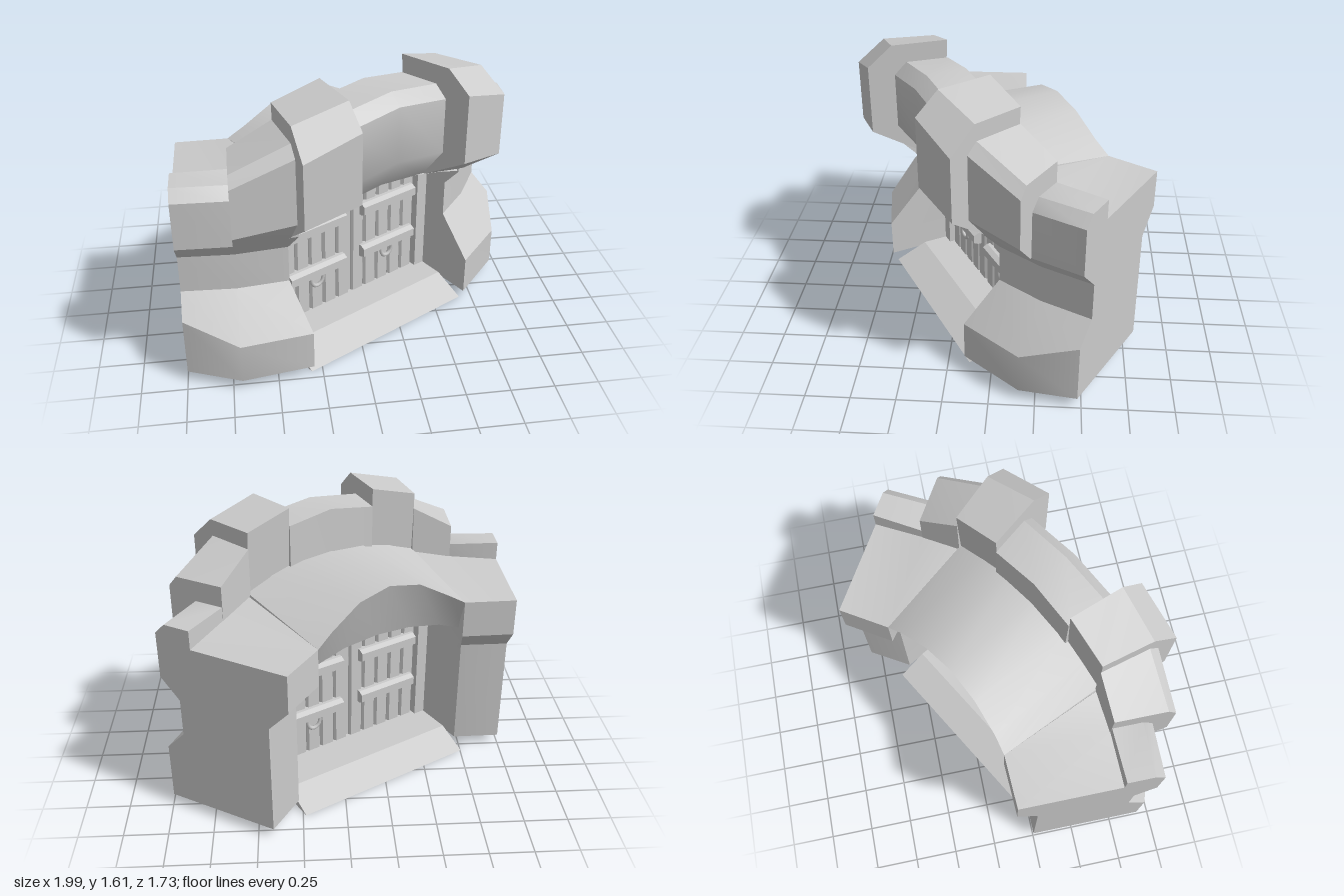
import * as THREE from 'three';
import { toCreasedNormals } from 'three/addons/utils/BufferGeometryUtils.js';

const material = new THREE.MeshStandardMaterial({ color: 0xcccccc });

// Section of a radial slice: start point (x, z), heading in degrees, list of [distance, height]
function section(x, z, degrees, list) {
  const a = THREE.MathUtils.degToRad(degrees);
  return list.map(([s, y]) => [x + s * Math.sin(a), y, z + s * Math.cos(a)]);
}
const flip = (p) => [-p[0], p[1], p[2]];
const mirrored = (stations) => stations.map((loop) => loop.map(flip)).reverse();

// Closed loops joined from +x to -x, capped at both ends
function loft(stations) {
  const out = [];
  const tri = (a, b, c) => out.push(...a, ...b, ...c);
  for (let k = 0; k < stations.length - 1; k++) {
    const a = stations[k], b = stations[k + 1];
    for (let i = 0; i < a.length; i++) {
      const j = (i + 1) % a.length;
      tri(a[i], a[j], b[j]);
      tri(a[i], b[j], b[i]);
    }
  }
  const cap = (loop, facing) => {
    const flat = loop.map((p) => new THREE.Vector2(p[2], p[1]));
    for (const [i, j, k] of THREE.ShapeUtils.triangulateShape(flat, [])) {
      const ccw = THREE.ShapeUtils.area([flat[i], flat[j], flat[k]]) > 0;
      if (ccw === facing) tri(loop[i], loop[j], loop[k]);
      else tri(loop[i], loop[k], loop[j]);
    }
  };
  cap(stations[0], false);
  cap(stations[stations.length - 1], true);
  const g = new THREE.BufferGeometry();
  g.setAttribute('position', new THREE.Float32BufferAttribute(out, 3));
  return toCreasedNormals(g, 0.65);
}

// Straight prism of an outline
function prism(points, length) {
  const shape = new THREE.Shape(points.map(([x, y]) => new THREE.Vector2(x, y)));
  return new THREE.ExtrudeGeometry(shape, { depth: length, bevelEnabled: false });
}
// Outline in (z, y), run along x and centred
const alongX = (points, length) =>
  prism(points.map(([z, y]) => [-z, y]).reverse(), length).rotateY(Math.PI / 2).translate(-length / 2, 0, 0);

export function createModel() {
  const model = new THREE.Group();
  const gate = new THREE.Group();
  gate.name = 'gate';
  gate.rotation.y = Math.PI / 6;
  gate.position.set(-0.043, 0, 0.025);
  model.add(gate);

  const add = (name, geometry, x = 0, y = 0, z = 0) => {
    const mesh = new THREE.Mesh(geometry, material);
    mesh.name = name;
    mesh.position.set(x, y, z);
    gate.add(mesh);
    return mesh;
  };
  const addPair = (name, stations) => {
    add(name + 'Left', loft(stations));
    add(name + 'Right', loft(mirrored(stations)));
  };

  // Threshold slab with sloping front and back
  add('threshold', alongX([[-0.435, 0], [0.45, 0], [0.255, 0.08], [-0.25, 0.08]], 1.14));

  // Side walls: outer end, bend and door jamb
  const outerEnd = section(0.755, -0.6, 30, [
    [0.12, 0.06], [0.79, 0.06], [0.79, 0.4], [0.675, 0.52], [0.675, 0.74], [0.79, 0.86], [0.79, 1.13],
    [0.73, 1.19], [0.575, 1.19], [0.575, 1.08], [0, 1.08], [0, 0.86], [0.12, 0.73]]);
  const bend = section(0.49, -0.46, 30, [
    [0.12, 0.06], [0.92, 0.06], [0.92, 0.29], [0.7, 0.52], [0.7, 0.74], [0.81, 0.86], [0.81, 1.13],
    [0.75, 1.19], [0.58, 1.19], [0.58, 1.11], [0, 1.08], [0, 0.86], [0.12, 0.73]]);
  bend[0] = [0.58, 0.06, -0.365];
  bend[12] = [0.58, 0.73, -0.365];
  const jamb = [
    [0.06, -0.36], [0.06, 0.48], [0.29, 0.48], [0.52, 0.26], [0.74, 0.26], [0.86, 0.37], [1.0, 0.37],
    [1.12, 0.3], [1.15, 0.25], [1.16, 0.14]].map(([y, z]) => [0.573, y, z]);
  jamb.push([...bend[10]], [...bend[11]], [0.573, 0.73, -0.36]);
  addPair('sideWall', [outerEnd, bend, jamb]);

  // Arch over the doorway: back lip, front lip, roof front, roof back
  const archHalf = [
    [[0.585, 0.84, -0.36], [0.585, 0.86, 0.36], [0.575, 1.18, 0.2], [0.49, 1.08, -0.46]],
    [[0.42, 0.9, -0.33], [0.42, 0.905, 0.355], [0.42, 1.23, 0.22], [0.39, 1.14, -0.435]],
    [[0.22, 0.93, -0.3], [0.22, 0.942, 0.345], [0.22, 1.27, 0.24], [0.2, 1.25, -0.41]]];
  const archMiddle = [[0, 0.94, -0.29], [0, 0.957, 0.34], [0, 1.28, 0.25], [0, 1.29, -0.4]];
  add('arch', loft([...archHalf, archMiddle, ...mirrored(archHalf)]));

  // Hood stones following the arch
  addPair('outerHoodStone', [
    section(0.78, 0.04, 30, [[0, 0.9], [0.24, 0.86], [0.34, 0.97], [0.34, 1.25], [0.29, 1.31], [0, 1.31]]),
    section(0.56, 0.134, 15, [[0, 0.95], [0.24, 0.87], [0.35, 1.01], [0.35, 1.38], [0.29, 1.44], [0, 1.44]])]);
  addPair('raisedHoodStone', [
    section(0.56, 0.134, 15, [[0.03, 0.95], [0.22, 0.86], [0.457, 1.035], [0.457, 1.4], [0.3, 1.535], [0, 1.535]]),
    section(0.28, 0.168, 9.5, [[0.03, 1.0], [0.19, 0.93], [0.46, 1.09], [0.46, 1.49], [0.32, 1.607], [0, 1.607]])]);
  const centreSide = section(0.28, 0.168, 9.5,
    [[0, 1.0], [0.18, 0.93], [0.31, 1.11], [0.31, 1.43], [0.24, 1.5], [0, 1.5]]);
  const centreMiddle = section(0, 0.18, 0,
    [[0, 1.02], [0.16, 0.957], [0.3, 1.155], [0.3, 1.475], [0.23, 1.54], [0, 1.54]]);
  add('centreHoodStone', loft([centreSide, centreMiddle, ...mirrored([centreSide])]));

  // Double door: backing, planks, posts, straps and ring pulls
  const doorZ = 0.03;
  add('doorBacking', new THREE.BoxGeometry(1.1, 0.9, 0.04), 0, 0.51, doorZ);
  for (const side of [-1, 1]) {
    add('doorPost', new THREE.BoxGeometry(0.08, 0.86, 0.14), side * 0.54, 0.49, doorZ);
    for (let i = 0; i < 5; i++) {
      const w = 0.047, e = 0.036;
      const plank = prism([[-w, -0.025], [-e, -0.04], [e, -0.04], [w, -0.025],
        [w, 0.025], [e, 0.04], [-e, 0.04], [-w, 0.025]], 0.88).rotateX(-Math.PI / 2);
      add('plank', plank, side * (0.056 + i * 0.098), 0.07, doorZ);
    }
    for (const y of [0.36, 0.655]) {
      const strap = alongX([[-0.09, -0.025], [-0.06, -0.04], [0.06, -0.04], [0.09, -0.025],
        [0.09, 0.025], [0.06, 0.04], [-0.06, 0.04], [-0.09, 0.025]], 0.4);
      add('strap', strap, side * 0.265, y, doorZ);
    }
    const ring = new THREE.TorusGeometry(0.042, 0.011, 6, 16);
    ring.scale(1, 1.2, 1);
    add('ringPull', ring, side * 0.265, 0.305, doorZ + 0.06);
    if (side > 0) add('ringPullBack', ring, side * 0.265, 0.305, doorZ - 0.06);
  }
  return model;
}
